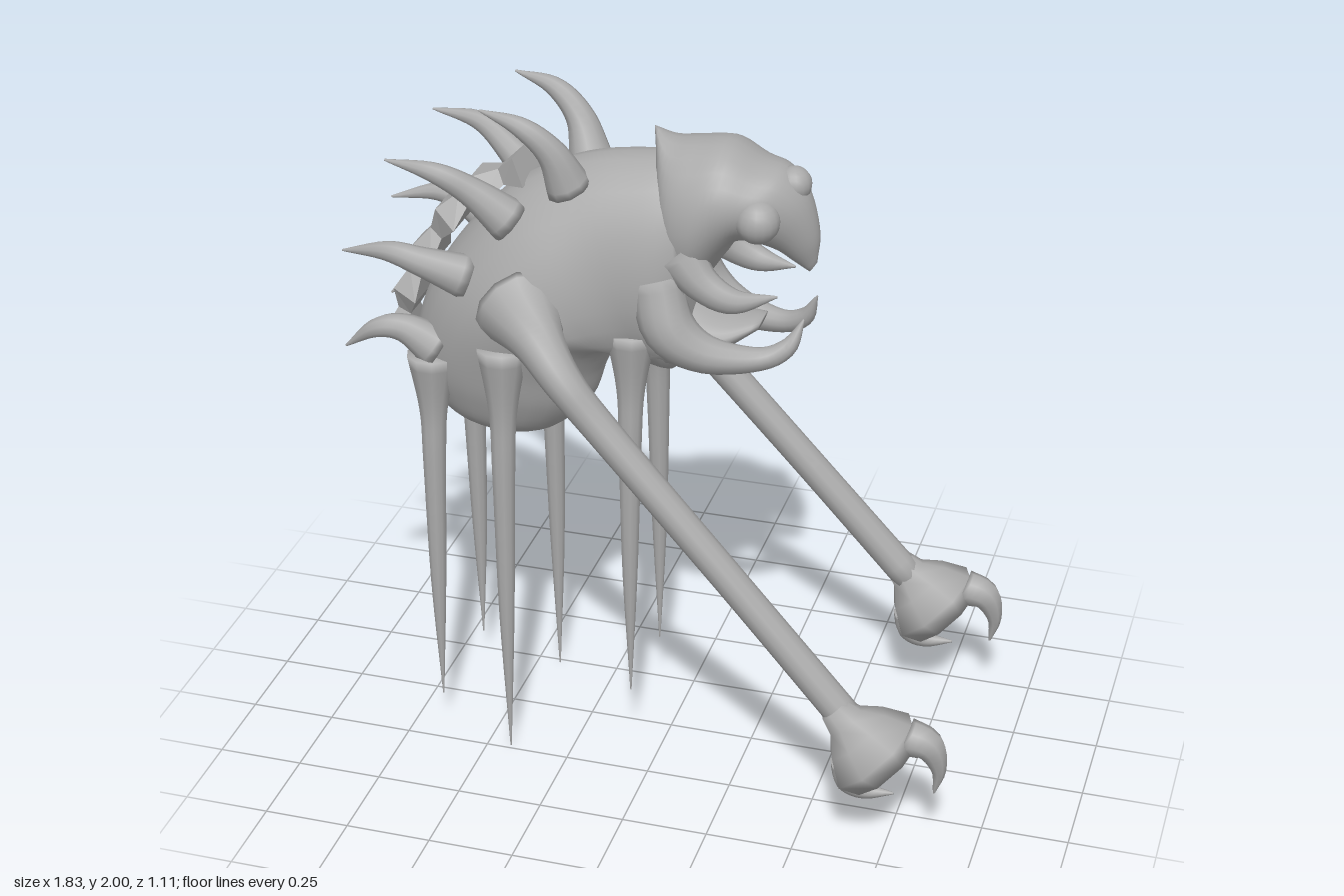
import * as THREE from 'three';

const V = (p) => new THREE.Vector3(p[0], p[1], p[2] ?? 0);
const curve = (pts) => new THREE.CatmullRomCurve3(pts.map(V), false, 'catmullrom', 0.5);

// Closed skin over a list of equal rings, capped at both ends, always facing outward
function skin(rings) {
  const n = rings[0].length, pos = [], idx = [];
  rings.forEach((r) => r.forEach((p) => pos.push(p.x, p.y, p.z)));
  for (let i = 0; i < rings.length - 1; i++) {
    for (let j = 0; j < n; j++) {
      const a = i * n + j, b = i * n + (j + 1) % n;
      idx.push(a, b, a + n, b, b + n, a + n);
    }
  }
  for (const k of [0, rings.length - 1]) {
    const c = rings[k].reduce((s, p) => s.add(p), new THREE.Vector3()).divideScalar(n);
    const ci = pos.length / 3;
    pos.push(c.x, c.y, c.z);
    for (let j = 0; j < n; j++) {
      const a = k * n + j, b = k * n + (j + 1) % n;
      if (k === 0) idx.push(ci, b, a); else idx.push(ci, a, b);
    }
  }
  let volume = 0;
  const at = (i) => new THREE.Vector3().fromArray(pos, i * 3);
  for (let i = 0; i < idx.length; i += 3) volume += at(idx[i]).dot(at(idx[i + 1]).cross(at(idx[i + 2])));
  if (volume < 0) idx.reverse();
  const g = new THREE.BufferGeometry();
  g.setAttribute('position', new THREE.Float32BufferAttribute(pos, 3));
  g.setIndex(idx);
  g.computeVertexNormals();
  return g;
}

// Symmetric form from stations [upper x, upper y, lower x, lower y, half width]
function loft(stations, steps, sides = 24) {
  const upper = curve(stations.map((s) => [s[0], s[1], s[4]]));
  const lower = curve(stations.map((s) => [s[2], s[3], 0]));
  const rings = [];
  for (let i = 0; i <= steps; i++) {
    const u = upper.getPoint(i / steps), l = lower.getPoint(i / steps), ring = [];
    for (let j = 0; j < sides; j++) {
      const a = j / sides * Math.PI * 2, k = Math.cos(a) / 2;
      ring.push(new THREE.Vector3((u.x + l.x) / 2 + (u.x - l.x) * k,
        (u.y + l.y) / 2 + (u.y - l.y) * k, Math.max(u.z, 0.004) * Math.sin(a)));
    }
    rings.push(ring);
  }
  return skin(rings);
}

// Tapering limb along a path, with one radius for each point
function limb(points, radii, sides = 10, steps = 16) {
  const path = curve(points), size = curve(radii.map((r) => [r, 0, 0])), rings = [];
  for (let i = 0; i <= steps; i++) {
    const t = i / steps, p = path.getPoint(t), dir = path.getTangent(t);
    const r = Math.max(size.getPoint(t).x, 0.002);
    const n = new THREE.Vector3(0, 0, 1).cross(dir).normalize();
    const b = dir.clone().cross(n);
    rings.push(Array.from({ length: sides }, (_, j) => {
      const a = j / sides * Math.PI * 2;
      return p.clone().addScaledVector(n, r * Math.cos(a)).addScaledVector(b, r * Math.sin(a));
    }));
  }
  return skin(rings);
}

export function createModel() {
  const model = new THREE.Group();
  model.name = 'creature';
  const hide = new THREE.MeshStandardMaterial({ color: 0xaaaaaa });
  hide.name = 'grey hide';
  const add = (name, geometry) => {
    const m = new THREE.Mesh(geometry, hide);
    m.name = name;
    model.add(m);
    return m;
  };

  // Hunched body from the hanging abdomen up to the neck
  add('body', loft([
    [-0.50, 0.975, -0.44, 0.975, 0.03], [-0.66, 1.03, -0.33, 1.0, 0.13],
    [-0.735, 1.13, -0.23, 1.1, 0.185], [-0.75, 1.25, -0.19, 1.21, 0.22],
    [-0.70, 1.42, -0.15, 1.28, 0.25], [-0.60, 1.58, -0.11, 1.29, 0.26],
    [-0.45, 1.74, -0.08, 1.26, 0.24], [-0.25, 1.84, -0.03, 1.24, 0.21],
    [-0.05, 1.875, 0.03, 1.24, 0.20], [0.06, 1.88, 0.09, 1.38, 0.17],
  ], 45, 28));

  // Head with pointed rear crest and down-hooked beak
  add('head', loft([
    [-0.045, 1.95, -0.035, 1.87, 0.01], [0.01, 1.925, 0.0, 1.55, 0.14],
    [0.08, 1.93, 0.08, 1.5, 0.18], [0.17, 1.935, 0.16, 1.6, 0.175],
    [0.26, 1.89, 0.20, 1.655, 0.155], [0.33, 1.87, 0.26, 1.65, 0.125],
    [0.39, 1.80, 0.31, 1.63, 0.085], [0.42, 1.69, 0.35, 1.60, 0.045],
    [0.415, 1.60, 0.395, 1.57, 0.008],
  ], 36));
  add('lowerJaw', loft([
    [0.0, 1.5, -0.03, 1.25, 0.16], [0.09, 1.46, 0.09, 1.265, 0.14],
    [0.18, 1.42, 0.17, 1.32, 0.11], [0.27, 1.42, 0.26, 1.385, 0.05],
  ], 14));
  add('brow', new THREE.SphereGeometry(0.05, 16, 12)).position.set(0.345, 1.825, 0);

  // Bony ridge down the back, each segment flaring then pinching
  const spine = curve([[-0.42, 1.79], [-0.57, 1.70], [-0.68, 1.56], [-0.76, 1.40], [-0.80, 1.24]]);
  const ridge = [];
  for (let i = 0; i <= 10; i++) {
    const p = spine.getPoint(i / 10), d = spine.getTangent(i / 10);
    const wide = i % 2 === 0, w = wide ? 0.085 : 0.04, h = wide ? 0.04 : 0.022;
    ridge.push([[1, 0.6], [1, -0.6], [-1, -1], [-1, 1]].map(([o, s]) =>
      new THREE.Vector3(p.x + d.y * o * h, p.y - d.x * o * h, s * w)));
  }
  const ridgeGeometry = skin(ridge).toNonIndexed();
  ridgeGeometry.computeVertexNormals();
  add('backRidge', ridgeGeometry);

  const spikes = [
    [[-0.26, 1.78, 0.10], [-0.30, 1.89, 0.13], [-0.38, 1.965, 0.15], [-0.495, 2.0, 0.15]],
    [[-0.42, 1.67, 0.13], [-0.52, 1.76, 0.16], [-0.62, 1.82, 0.19], [-0.76, 1.84, 0.19]],
    [[-0.54, 1.50, 0.16], [-0.66, 1.55, 0.20], [-0.76, 1.575, 0.21], [-0.90, 1.55, 0.19]],
    [[-0.64, 1.26, 0.15], [-0.73, 1.32, 0.17], [-0.81, 1.32, 0.19], [-0.91, 1.245, 0.18]],
  ];
  // Leg spines: x, z, top height, tip height
  const legs = [[-0.66, 0.18, 1.24, 0.11], [-0.43, 0.235, 1.32, 0.0], [-0.08, 0.15, 1.38, 0.21]];

  for (const s of [1, -1]) {
    const side = s > 0 ? 'left' : 'right';
    const m = (pts) => pts.map(([x, y, z]) => [x, y, z * s]);

    // Eyes, mandibles and fangs
    const eye = add(side + 'Eye', new THREE.SphereGeometry(0.062, 18, 12));
    eye.position.set(0.275, 1.755, 0.115 * s);
    add(side + 'Mandible', limb(m([[0.0, 1.56, 0.14], [0.04, 1.43, 0.165], [0.14, 1.36, 0.16],
      [0.28, 1.345, 0.125], [0.36, 1.38, 0.10], [0.40, 1.46, 0.075]]),
    [0.07, 0.075, 0.055, 0.034, 0.026, 0.003], 12, 24));
    add(side + 'Fang', limb(m([[0.06, 1.63, 0.12], [0.13, 1.56, 0.14], [0.22, 1.52, 0.14],
      [0.33, 1.53, 0.10]]), [0.07, 0.05, 0.035, 0.003]));

    spikes.forEach((p, i) => add(`${side}BackSpike${i + 1}`, limb(m(p), [0.065, 0.042, 0.028, 0.003])));

    legs.forEach(([x, z, top, tip], i) => {
      const y = (k) => top + (tip - top) * k;
      add(`${side}Leg${i + 1}`, limb(m([[x, top, z - 0.03], [x, y(0.15), z - 0.02], [x, y(0.3), z - 0.01],
        [x, y(0.65), z], [x, tip, z]]), [0.075, 0.042, 0.034, 0.023, 0.002], 10, 20));
    });

    // Long arm reaching forward and down
    add(side + 'Arm', limb(m([[-0.38, 1.45, 0.19], [-0.29, 1.405, 0.30], [-0.20, 1.32, 0.36],
      [-0.08, 1.185, 0.37], [0.28, 0.79, 0.385], [0.64, 0.39, 0.40]]),
    [0.13, 0.075, 0.055, 0.048, 0.046, 0.048], 12, 40));

    // Hollow faceted hand opening away from the arm
    const cup = [[0.045, -0.02], [0.06, 0.03], [0.105, 0.08], [0.147, 0.15], [0.118, 0.205],
      [0.09, 0.16], [0.001, 0.10]].map(([r, t]) => new THREE.Vector2(r, t));
    const hand = add(side + 'Hand', new THREE.LatheGeometry(cup.reverse(), 8));
    hand.material = hide;
    hand.geometry.scale(-1, -1, 1);
    hand.geometry.scale(1, -1, 1);
    hand.geometry = skin(cup.map(({ x, y }) => Array.from({ length: 8 }, (_, j) => {
      const a = j / 8 * Math.PI * 2;
      return new THREE.Vector3(x * Math.cos(a), y, x * Math.sin(a));
    })));
    hand.position.set(0.605, 0.425, 0.41 * s);
    hand.quaternion.setFromUnitVectors(new THREE.Vector3(0, 1, 0), new THREE.Vector3(0.7, -0.714, 0).normalize());

    // Two hooked claws on the hand's rim
    add(side + 'UpperClaw', limb(m([[0.80, 0.385, 0.41], [0.865, 0.365, 0.41], [0.895, 0.29, 0.41],
      [0.885, 0.21, 0.41]]), [0.055, 0.045, 0.022, 0.003], 8, 12));
    add(side + 'LowerClaw', limb(m([[0.635, 0.27, 0.41], [0.64, 0.21, 0.41], [0.69, 0.18, 0.41],
      [0.77, 0.185, 0.41]]), [0.05, 0.04, 0.025, 0.003], 8, 12));
  }
  return model;
}
